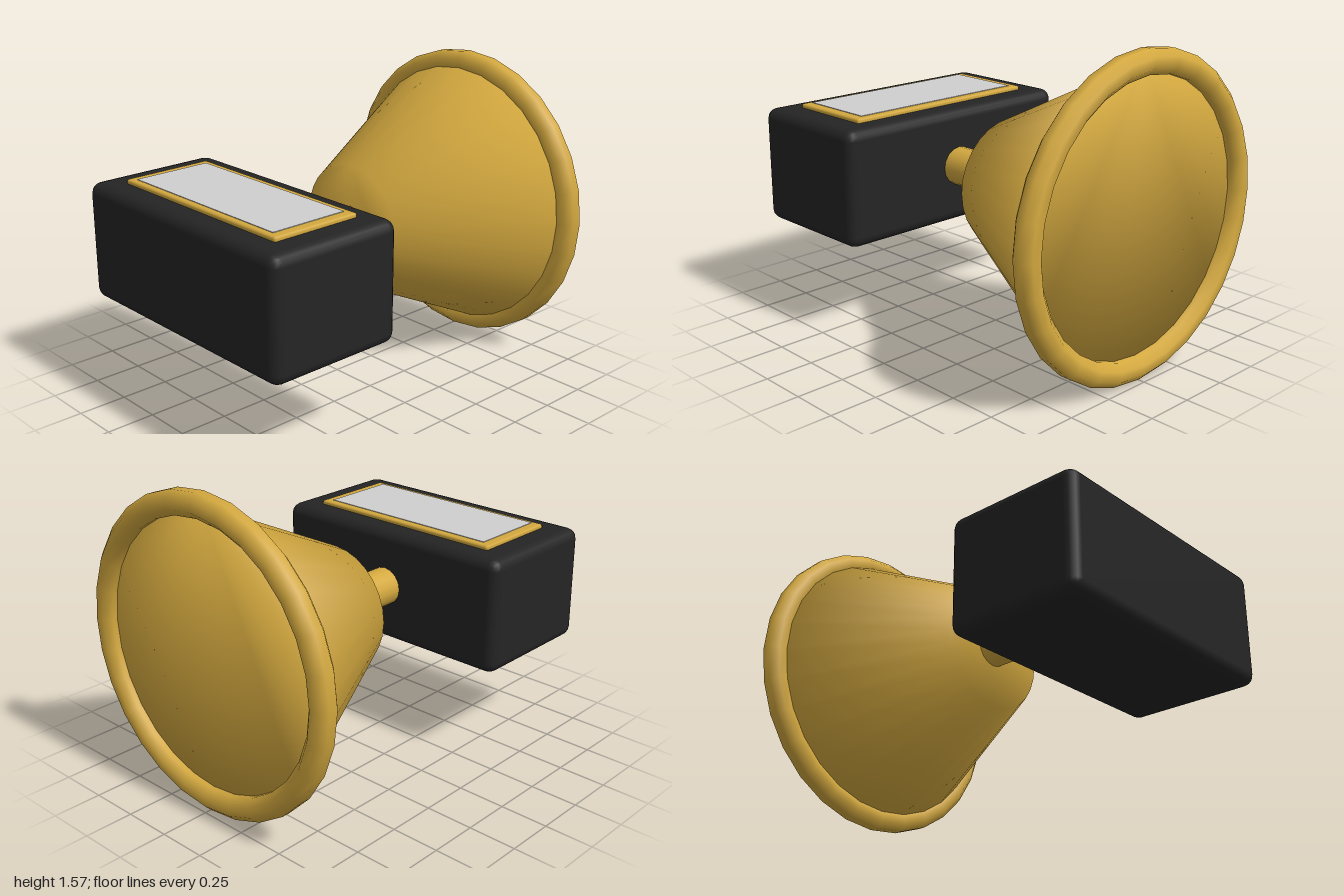
import * as THREE from 'three';
import { RoundedBoxGeometry } from 'three/addons/geometries/RoundedBoxGeometry.js';

const SEGMENTS = 28;
const AXIS_Y = 0.787;

function material(name, color) {
  const m = new THREE.MeshStandardMaterial({ color });
  m.name = name;
  return m;
}

// Solid tapered cup with soft normals running over both end faces.
function cupGeometry(rimRadius, footRadius, height) {
  const g = new THREE.CylinderGeometry(rimRadius, footRadius, height, SEGMENTS, 1, true);
  const index = Array.from(g.index.array);
  const foot = SEGMENTS + 1;
  for (let i = 1; i < SEGMENTS - 1; i++) {
    index.push(0, i, i + 1, foot, foot + i + 1, foot + i);
  }
  g.setIndex(index);
  const { position, normal } = g.attributes;
  for (let i = 0; i < position.count; i++) {
    const top = i < foot;
    const radius = top ? rimRadius : footRadius;
    const radial = top ? 0.86 : 0.58;
    normal.setXYZ(i, position.getX(i) / radius * radial, top ? 0.52 : -0.82,
      position.getZ(i) / radius * radial);
  }
  return g;
}

// Octagonal ring section swept around the cup mouth.
function rimGeometry(outerRadius, halfSize) {
  const r = halfSize / Math.cos(Math.PI / 8);
  const points = [];
  for (let i = 0; i <= 8; i++) {
    const a = Math.PI + (i + 0.5) * Math.PI / 4;
    points.push(new THREE.Vector2(outerRadius - halfSize + r * Math.cos(a), r * Math.sin(a)));
  }
  return new THREE.LatheGeometry(points, SEGMENTS);
}

export function createModel() {
  const gold = material('gold', 0xd4a93f);
  const black = material('black', 0x242424);
  const silver = material('silver', 0xcfcfcf);
  const model = new THREE.Group();
  model.name = 'trophy';

  const add = (name, geometry, mat, x, y, z) => {
    const mesh = new THREE.Mesh(geometry, mat);
    mesh.name = name;
    mesh.position.set(x, y, z);
    model.add(mesh);
    return mesh;
  };

  // Round parts lie on their side, mouth towards the back
  const lay = (g) => g.rotateX(-Math.PI / 2);
  add('cup', lay(cupGeometry(0.73, 0.32, 0.845)), gold, 0, AXIS_Y, -0.5175);
  add('rim', lay(rimGeometry(0.787, 0.059)), gold, 0, AXIS_Y, -0.941);
  add('stem', lay(new THREE.CylinderGeometry(0.1, 0.1, 0.42, 16, 1, true)), gold, 0, AXIS_Y + 0.003, 0.09);

  // Block base with a framed plate on its upper face
  add('base', new RoundedBoxGeometry(1.41, 0.6, 0.725, 2, 0.055), black, 0, 0.79, 0.6375);
  add('plaqueFrame', new RoundedBoxGeometry(1.12, 0.04, 0.48, 1, 0.012), gold, 0, 1.091, 0.631);
  add('plaquePlate', new THREE.BoxGeometry(1.02, 0.006, 0.41), silver, 0, 1.111, 0.634);

  return model;
}
